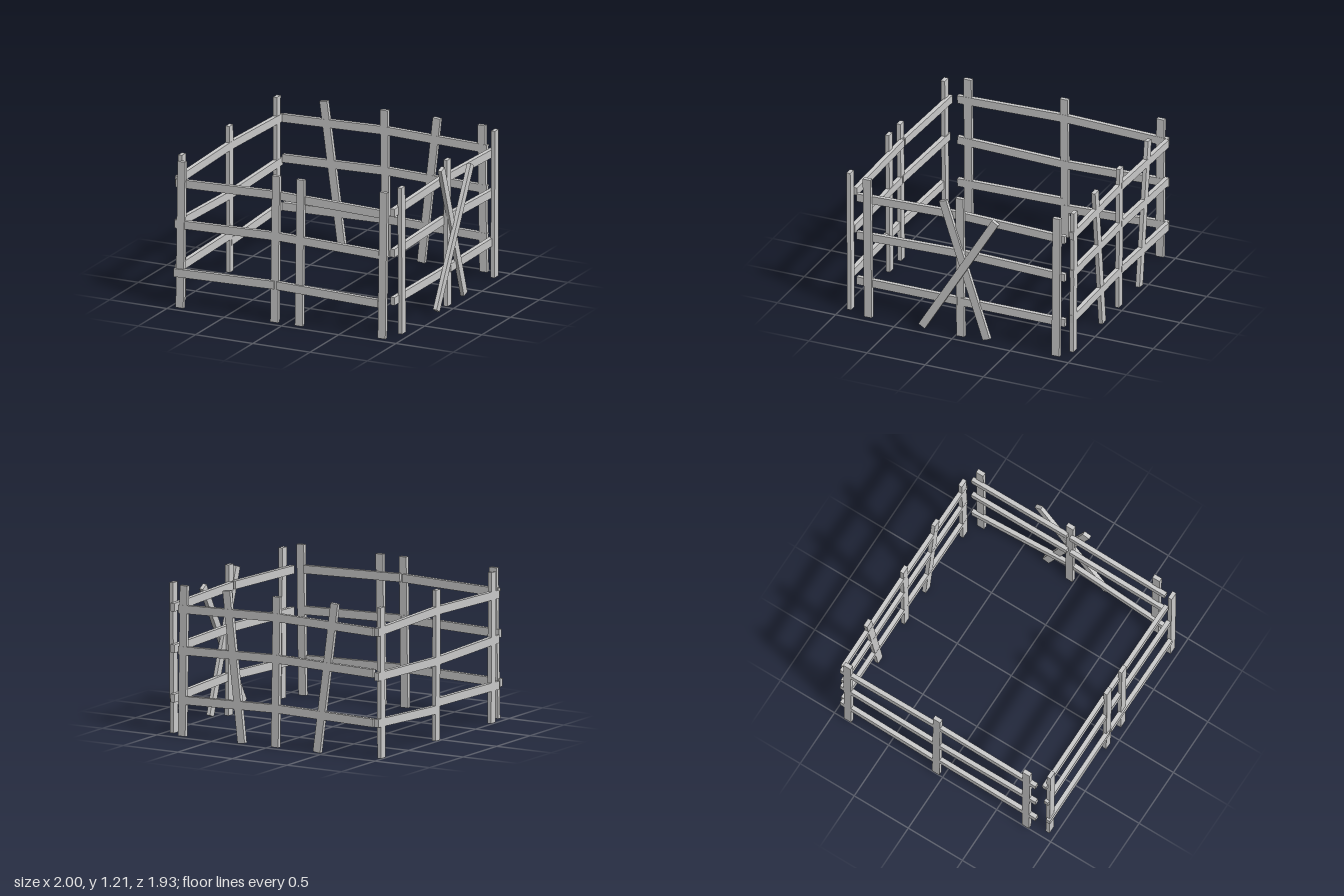
import * as THREE from 'three';

const material = new THREE.MeshStandardMaterial({ color: 0xcccccc, flatShading: true });
const WIDTH = 0.066;

// Square-cut plank from a to b, its thin side facing along normal
function plank(name, a, b, normal, thickness = 0.034, width = WIDTH) {
  const start = new THREE.Vector3(...a), end = new THREE.Vector3(...b);
  const along = end.clone().sub(start);
  const length = along.length();
  along.normalize();
  const across = new THREE.Vector3(...normal).cross(along).normalize();
  const face = new THREE.Vector3().crossVectors(along, across);
  const mesh = new THREE.Mesh(new THREE.BoxGeometry(length, width, thickness), material);
  mesh.quaternion.setFromRotationMatrix(new THREE.Matrix4().makeBasis(along, across, face));
  mesh.position.copy(start).add(end).multiplyScalar(0.5);
  mesh.name = name;
  return mesh;
}

// One side of the pen: u runs along the wall, d is its depth.
// Posts are [bottom u, top u]; rails bend at the middle and may swing in depth.
function wall({ name, alongX, from, to, split, gap, postDepth, posts, rails }) {
  const group = new THREE.Group();
  group.name = name;
  const point = (u, y, d) => (alongX ? [u, y, d] : [d, y, u]);
  const normal = alongX ? [0, 0, 1] : [1, 0, 0];
  for (const [low, high] of posts) {
    group.add(plank('post', point(low, 0, postDepth), point(high, 1.2, postDepth), normal));
  }
  for (const { endY, midY, backMidY = midY, endD, midD = endD } of rails) {
    group.add(plank('rail', point(from, endY, endD), point(split - gap, backMidY, midD), normal, 0.036));
    group.add(plank('rail', point(split + gap, midY, midD), point(to, endY, endD), normal, 0.036));
  }
  return group;
}

export function createModel() {
  const model = new THREE.Group();
  model.name = 'fencedPen';

  // Front wall, rails stepping outward toward the ground
  model.add(wall({
    name: 'frontWall', alongX: true, from: -0.96, to: 0.822, split: -0.072, gap: 0.011, postDepth: 0.937,
    posts: [[-0.914, -0.898], [-0.088, -0.072], [0.126, 0.142], [0.85, 0.867]],
    rails: [
      { endY: 1.01, midY: 1.034, endD: 0.914 },
      { endY: 0.68, midY: 0.703, endD: 0.932 },
      { endY: 0.286, midY: 0.307, endD: 0.949 },
    ],
  }));

  // Back wall, with two slanting posts
  model.add(wall({
    name: 'backWall', alongX: true, from: -0.96, to: 0.826, split: -0.066, gap: 0.009, postDepth: -0.947,
    posts: [[-0.44, -0.602], [-0.057, -0.073], [0.25, 0.387], [0.795, 0.778]],
    rails: [
      { endY: 1.01, midY: 1.034, endD: -0.947 },
      { endY: 0.68, midY: 0.703, endD: -0.947 },
      { endY: 0.286, midY: 0.307, endD: -0.947 },
    ],
  }));

  // Left wall, middle and lower rails sagging
  model.add(wall({
    name: 'leftWall', alongX: false, from: -0.95, to: 0.858, split: -0.06, gap: 0, postDepth: -0.983,
    posts: [[-0.878, -0.885], [-0.064, -0.056], [0.765, 0.772]],
    rails: [
      { endY: 1.01, midY: 1.034, endD: -0.982 },
      { endY: 0.655, midY: 0.632, endD: -0.982 },
      { endY: 0.286, midY: 0.303, backMidY: 0.246, endD: -0.982 },
    ],
  }));

  // Right wall, lower rails swung outward at the middle
  model.add(wall({
    name: 'rightWall', alongX: false, from: -0.93, to: 0.858, split: -0.036, gap: 0.014, postDepth: 0.927,
    posts: [[-0.863, -0.871], [-0.045, -0.038], [0.748, 0.76]],
    rails: [
      { endY: 1.01, midY: 1.034, endD: 0.898 },
      { endY: 0.68, midY: 0.703, endD: 0.898 },
      { endY: 0.286, midY: 0.307, endD: 0.898, midD: 0.935 },
    ],
  }));

  // Two loose poles leaning crosswise on the right wall
  const crossed = new THREE.Group();
  crossed.name = 'crossedPoles';
  crossed.add(
    plank('innerPole', [0.953, 0.03, -0.28], [0.945, 1.16, 0.1], [1, 0, 0], 0.032, 0.064),
    plank('outerPole', [0.983, 0.05, 0.262], [0.969, 1.072, -0.362], [1, 0, 0], 0.033, 0.064),
  );
  model.add(crossed);

  return model;
}
